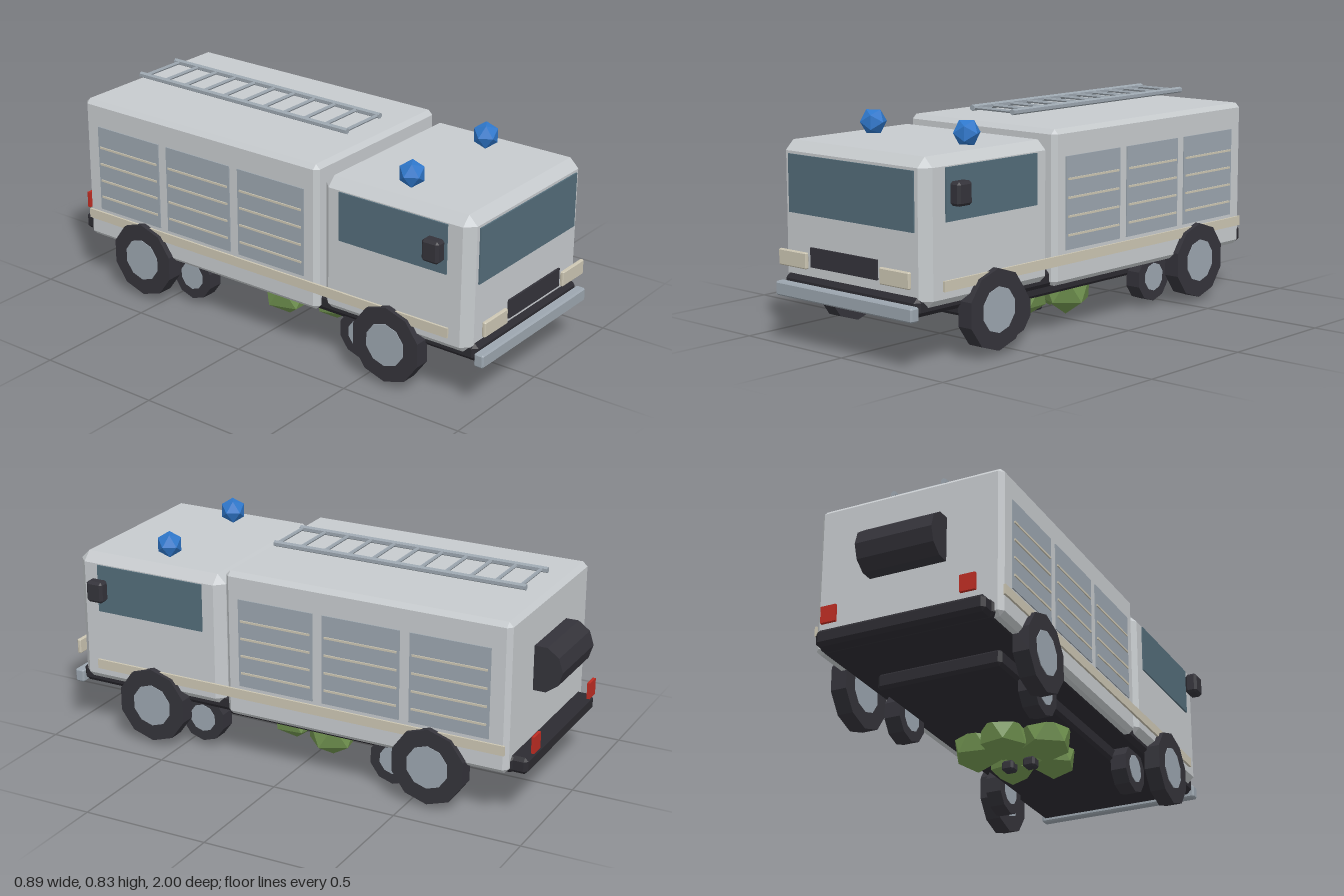
import * as THREE from 'three';
import { ConvexGeometry } from 'three/addons/geometries/ConvexGeometry.js';

const mat = (name, color) => {
  const m = new THREE.MeshStandardMaterial({ color, flatShading: true });
  m.name = name;
  return m;
};

export function createModel() {
  const root = new THREE.Group();
  root.name = 'utilityTruck';

  const paint = mat('paleGreyPaint', 0xc6cacd);
  const glass = mat('tintedGlass', 0x536c79);
  const dark = mat('blackRubber', 0x34333a);
  const frame = mat('chassisBlack', 0x2c2b31);
  const metal = mat('greyMetal', 0x9ba5ae);
  const cream = mat('cream', 0xcbc5b2);
  const red = mat('redLamp', 0xbd2c22);
  const blue = mat('blueLamp', 0x2f78cc);
  const green = mat('leafGreen', 0x70924f);

  const add = (name, geo, material, x = 0, y = 0, z = 0) => {
    const m = new THREE.Mesh(geo, material);
    m.name = name;
    m.position.set(x, y, z);
    root.add(m);
    return m;
  };

  // Box given by its limits
  const box = (name, material, x0, x1, y0, y1, z0, z1) =>
    add(name, new THREE.BoxGeometry(x1 - x0, y1 - y0, z1 - z0), material,
      (x0 + x1) / 2, (y0 + y1) / 2, (z0 + z1) / 2);

  // Box with every edge chamfered by c
  const chamferBox = (name, material, x0, x1, y0, y1, z0, z1, c) => {
    const h = [(x1 - x0) / 2, (y1 - y0) / 2, (z1 - z0) / 2];
    const points = [];
    for (const sx of [-1, 1]) for (const sy of [-1, 1]) for (const sz of [-1, 1]) {
      for (let full = 0; full < 3; full++) {
        const [px, py, pz] = h.map((v, i) => (i === full ? v : v - c));
        points.push(new THREE.Vector3(sx * px, sy * py, sz * pz));
      }
    }
    return add(name, new ConvexGeometry(points), material,
      (x0 + x1) / 2, (y0 + y1) / 2, (z0 + z1) / 2);
  };

  // Ten-sided cylinder lying along x
  const drum = (name, material, r, width, x, y, z, turn = 0) => {
    const geo = new THREE.CylinderGeometry(r, r, width, 10);
    geo.rotateZ(Math.PI / 2).rotateX(turn);
    return add(name, geo, material, x, y, z);
  };

  // Main bodies
  chamferBox('cab', paint, -0.37, 0.37, 0.205, 0.74, 0.292, 0.945, 0.036);
  chamferBox('equipmentBody', paint, -0.372, 0.372, 0.19, 0.772, -0.885, 0.277, 0.018);
  box('cabConnector', frame, -0.2, 0.2, 0.35, 0.45, 0.26, 0.31);

  // Underframe
  chamferBox('floorFrame', frame, -0.345, 0.345, 0.185, 0.255, -0.9, 0.962, 0.018);
  chamferBox('rearBumper', frame, -0.335, 0.335, 0.187, 0.252, -0.947, -0.87, 0.014);
  chamferBox('chassis', frame, -0.25, 0.25, 0.125, 0.19, -0.65, 0.65, 0.012);
  chamferBox('frontBumper', metal, -0.35, 0.35, 0.175, 0.228, 0.957, 0.997, 0.006);

  // Cab front
  box('windshield', glass, -0.318, 0.318, 0.48, 0.694, 0.943, 0.951);
  box('grille', dark, -0.17, 0.17, 0.3, 0.372, 0.977, 0.985);

  // Parts on both sides
  for (const s of [-1, 1]) {
    const span = (a, b) => (s > 0 ? [a, b] : [-b, -a]);

    chamferBox('headlight', cream, ...span(0.187, 0.334), 0.29, 0.35, 0.976, 0.992, 0.004);
    box('sideWindow', glass, ...span(0.368, 0.376), 0.51, 0.7, 0.378, 0.848);
    chamferBox('mirror', dark, ...span(0.395, 0.445), 0.571, 0.656, 0.785, 0.857, 0.01);
    box('sideStripe', cream, ...span(0.371, 0.38), 0.268, 0.306, -0.875, 0.862);
    box('tailLight', red, ...span(0.245, 0.305), 0.265, 0.33, -0.96, -0.948);

    // Roller shutters with slats
    for (const [z0, z1] of [[-0.098, 0.217], [-0.455, -0.138], [-0.812, -0.495]]) {
      box('shutter', metal, ...span(0.368, 0.376), 0.32, 0.67, z0, z1);
      for (let i = 0; i < 4; i++) {
        const y = 0.375 + i * 0.07;
        box('shutterSlat', cream, ...span(0.373, 0.38), y - 0.004, y + 0.004, z0 + 0.01, z1 - 0.01);
      }
    }

    // Beacon
    const beacon = add('beacon', new THREE.IcosahedronGeometry(0.052), blue, s * 0.238, 0.784, 0.6);
    beacon.rotation.y = 0.55;

    // Large wheels, and small inner wheels
    for (const z of [0.605, -0.582]) {
      drum('tyre', dark, 0.15, 0.063, s * 0.364, 0.166, z, Math.PI / 2);
      drum('hub', metal, 0.085, 0.066, s * 0.365, 0.166, z, Math.PI / 2);
    }
    for (const z of [0.428, -0.4]) {
      drum('innerTyre', dark, 0.097, 0.064, s * 0.273, 0.115, z, Math.PI / 2);
      drum('innerHub', metal, 0.056, 0.067, s * 0.274, 0.115, z, Math.PI / 2);
    }

    // Ladder rail
    const rail = new THREE.CylinderGeometry(0.012, 0.012, 1.035, 6).rotateX(Math.PI / 2);
    add('ladderRail', rail, metal, s * 0.103, 0.81, -0.307);

    // Small pads under the foliage
    chamferBox('pad', dark, ...span(0.02, 0.07), 0.014, 0.055, -0.005, 0.045, 0.008);
  }

  // Ladder rungs
  for (let i = 0; i < 11; i++) {
    const rung = new THREE.CylinderGeometry(0.007, 0.007, 0.206, 6).rotateZ(Math.PI / 2);
    add('ladderRung', rung, metal, 0, 0.81, -0.8 + i * 0.1);
  }

  // Roll carried on the back
  drum('rearRoll', dark, 0.091, 0.306, 0, 0.528, -0.907);

  // Foliage clump under the chassis: x, y, z, radius, turn
  const clumps = [
    [-0.138, 0.105, -0.04, 0.107, 0.3], [0.137, 0.105, -0.06, 0.107, 1.1],
    [0, 0.1, -0.125, 0.1, 2.0], [0.085, 0.105, 0.13, 0.098, 0.7],
    [-0.08, 0.105, 0.15, 0.095, 1.6], [0, 0.12, 0.02, 0.09, 0.2],
  ];
  for (const [x, y, z, r, turn] of clumps) {
    const geo = new THREE.IcosahedronGeometry(r).rotateZ(0.554).rotateY(turn);
    add('foliage', geo, green, x, y, z);
  }

  return root;
}
